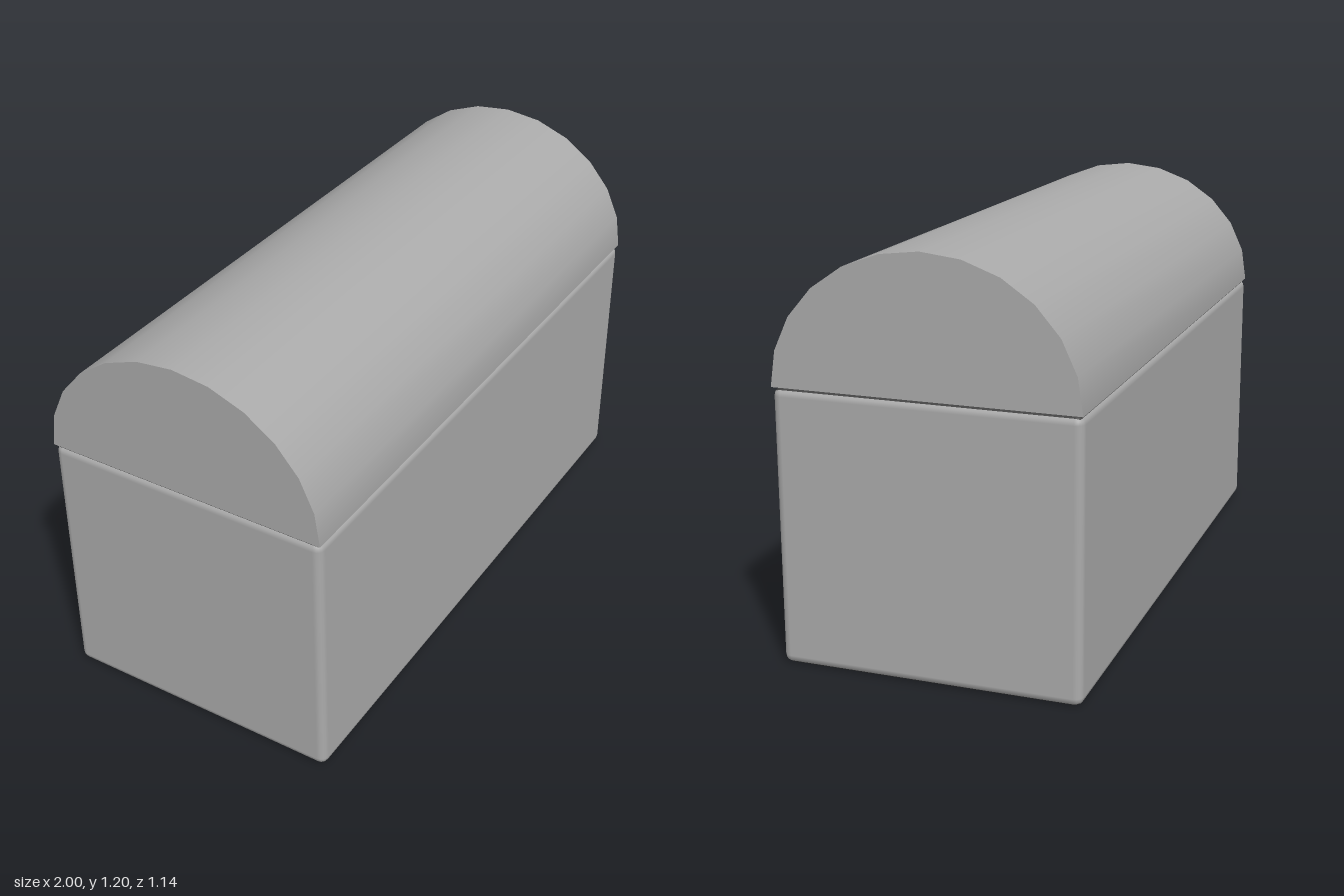
import * as THREE from 'three';
import { RoundedBoxGeometry } from 'three/addons/geometries/RoundedBoxGeometry.js';

const LENGTH = 1.896;
const DEPTH = 0.884;
const BODY_HEIGHT = 0.805;
const LID_BASE = 0.806;
const LID_HEIGHT = 0.396;

function material(name, color) {
  const result = new THREE.MeshStandardMaterial({ color });
  result.name = name;
  return result;
}

export function createModel() {
  const grey = material('grey', 0xaaaaaa);
  const darkGrey = material('darkGrey', 0x404040);

  // Chest body: a box with softly rounded edges, dark on its top and bottom
  const body = new THREE.Mesh(
    new RoundedBoxGeometry(LENGTH, BODY_HEIGHT, DEPTH, 2, 0.025),
    [grey, grey, darkGrey, darkGrey, grey, grey]);
  body.name = 'chestBody';
  body.position.y = BODY_HEIGHT / 2;

  // Barrel lid: half a cylinder lying along x, slightly flattened
  const radius = DEPTH / 2;
  const lidGeometry = new THREE.CylinderGeometry(
    radius, radius, LENGTH, 12, 1, false, 0, Math.PI);
  lidGeometry.rotateZ(Math.PI / 2);
  lidGeometry.scale(1, LID_HEIGHT / radius, 1);
  const lid = new THREE.Mesh(lidGeometry, grey);
  lid.name = 'barrelLid';
  lid.position.y = LID_BASE;

  // Dark underside closing the lid, seen along the seam
  const underside = new THREE.Mesh(new THREE.PlaneGeometry(LENGTH, DEPTH), darkGrey);
  underside.name = 'lidUnderside';
  underside.rotation.x = Math.PI / 2;
  underside.position.y = LID_BASE;

  // The chest stands turned a little about the vertical axis
  const chest = new THREE.Group();
  chest.name = 'chest';
  chest.add(body, lid, underside);
  chest.rotation.y = 0.138;

  const model = new THREE.Group();
  model.name = 'model';
  model.add(chest);
  return model;
}
